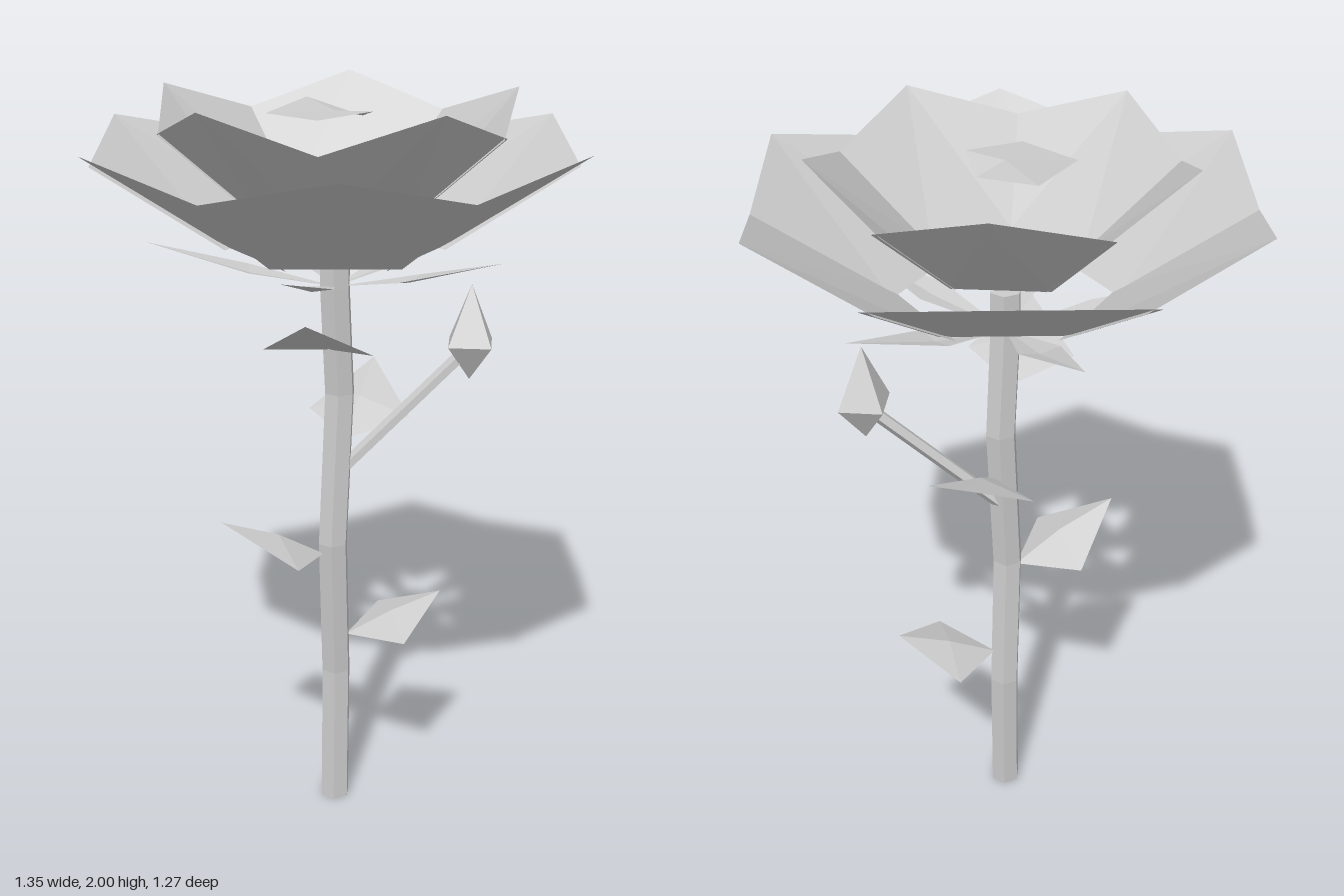
import * as THREE from 'three';

const grey = new THREE.MeshStandardMaterial({ color: 0xcccccc, flatShading: true, side: THREE.DoubleSide });
grey.name = 'pale grey';

// Flat facets from a few corner points and triangles
function facets(name, points, tris) {
  const g = new THREE.BufferGeometry();
  g.setAttribute('position', new THREE.Float32BufferAttribute(tris.flat().flatMap(i => points[i]), 3));
  g.computeVertexNormals();
  const mesh = new THREE.Mesh(g, grey);
  mesh.name = name;
  return mesh;
}

// Faceted tube swept straight from ring to ring
function stalk(name, centres, radius, sides) {
  const pts = [], tris = [];
  centres.forEach(([x, y, z]) => {
    for (let i = 0; i < sides; i++) {
      const a = (i / sides) * Math.PI * 2 + 0.25;
      pts.push([x + radius * Math.cos(a), y, z + radius * Math.sin(a)]);
    }
  });
  for (let r = 0; r < centres.length - 1; r++) {
    for (let i = 0; i < sides; i++) {
      const a = r * sides + i, b = r * sides + (i + 1) % sides;
      tris.push([a, a + sides, b], [b, a + sides, b + sides]);
    }
  }
  const last = (centres.length - 1) * sides;
  for (let i = 1; i < sides - 1; i++) {
    tris.push([0, i, i + 1], [last, last + i + 1, last + i]);
  }
  return facets(name, pts, tris);
}

// Ring of five-cornered petals: [distance out, height, half width] for base and shoulder
function petalRing(name, count, startDeg, base, shoulder, tip) {
  const ring = new THREE.Group();
  ring.name = name;
  for (let i = 0; i < count; i++) {
    const petal = facets('petal', [
      [base[0], base[1], -base[2]], [base[0], base[1], base[2]],
      [shoulder[0], shoulder[1], shoulder[2]], [tip[0], tip[1], 0],
      [shoulder[0], shoulder[1], -shoulder[2]],
    ], [[0, 3, 1], [1, 3, 2], [0, 4, 3]]);
    petal.rotation.y = -THREE.MathUtils.degToRad(startDeg + i * 360 / count);
    ring.add(petal);
  }
  return ring;
}

// Kite-shaped leaf folded along a raised midrib
function leaf(name, base, angle, mid, tip, width, midRise, ribRise, tipRise) {
  const mesh = facets(name, [
    [0, 0, 0], [mid, midRise, -width], [mid, ribRise, 0], [mid, midRise, width], [tip, tipRise, 0],
  ], [[0, 2, 1], [0, 3, 2], [1, 2, 4], [2, 3, 4]]);
  mesh.position.set(...base);
  mesh.rotation.y = -angle;
  return mesh;
}

export function createModel() {
  const model = new THREE.Group();
  model.name = 'flower';

  // Slightly crooked stem
  model.add(stalk('stem', [
    [0, 0, 0], [0.012, 0.4, -0.01], [-0.012, 0.8, 0.006], [0.02, 1.22, -0.005], [0, 1.51, 0], [0, 1.62, 0],
  ], 0.042, 6));

  // Bloom: outer and inner petals
  model.add(petalRing('outerPetals', 6, 8.5, [0.23, 1.61, 0.16], [0.52, 1.82, 0.325], [0.68, 1.9]));
  model.add(petalRing('innerPetals', 5, 26, [0.15, 1.69, 0.12], [0.35, 1.91, 0.27], [0.478, 2.0]));

  // Small folded heart of the bloom
  model.add(facets('heart', [
    [0, 1.955, 0], [-0.14, 1.95, -0.1], [0.06, 1.965, -0.19],
    [0.09, 1.935, 0], [0.04, 1.96, 0.1], [-0.12, 1.95, 0.08],
  ], [[0, 2, 1], [0, 3, 2], [0, 4, 3], [0, 5, 4], [0, 1, 5]]));

  // Five pointed sepals under the bloom
  for (let i = 0; i < 5; i++) {
    model.add(leaf('sepal', [0, 1.51, 0], i * Math.PI * 2 / 5, 0.22, 0.48, 0.055, 0.05, 0.04, 0.122));
  }

  // Leaves: base point, outward direction (x, z), rise of the tip
  const leaves = [
    [[0.04, 0.5, 0], [0.245, 0.12], 0.105],
    [[-0.04, 0.77, 0], [-0.28, -0.08], 0.14],
    [[0.04, 1.085, 0], [0.24, -0.17], 0.145],
    [[-0.02, 1.345, 0], [-0.21, 0.17], 0.135],
  ];
  leaves.forEach(([base, [dx, dz], rise]) => {
    model.add(leaf('leaf', base, Math.atan2(dz, dx), 0.13, Math.hypot(dx, dz), 0.142, rise * 0.22, rise * 0.56, rise));
  });

  // Side branch carrying a closed bud
  model.add(stalk('branch', [[0.02, 1.0, 0], [0.3, 1.31, 0.165]], 0.024, 5));
  const bud = facets('bud', [
    [0, 1.5, 0], [0.08, 1.34, 0], [0, 1.34, 0.08], [-0.08, 1.34, 0], [0, 1.34, -0.08], [0, 1.24, 0],
  ], [[0, 2, 1], [0, 3, 2], [0, 4, 3], [0, 1, 4], [5, 1, 2], [5, 2, 3], [5, 3, 4], [5, 4, 1]]);
  bud.position.set(0.32, 0, 0.175);
  model.add(bud);

  return model;
}
